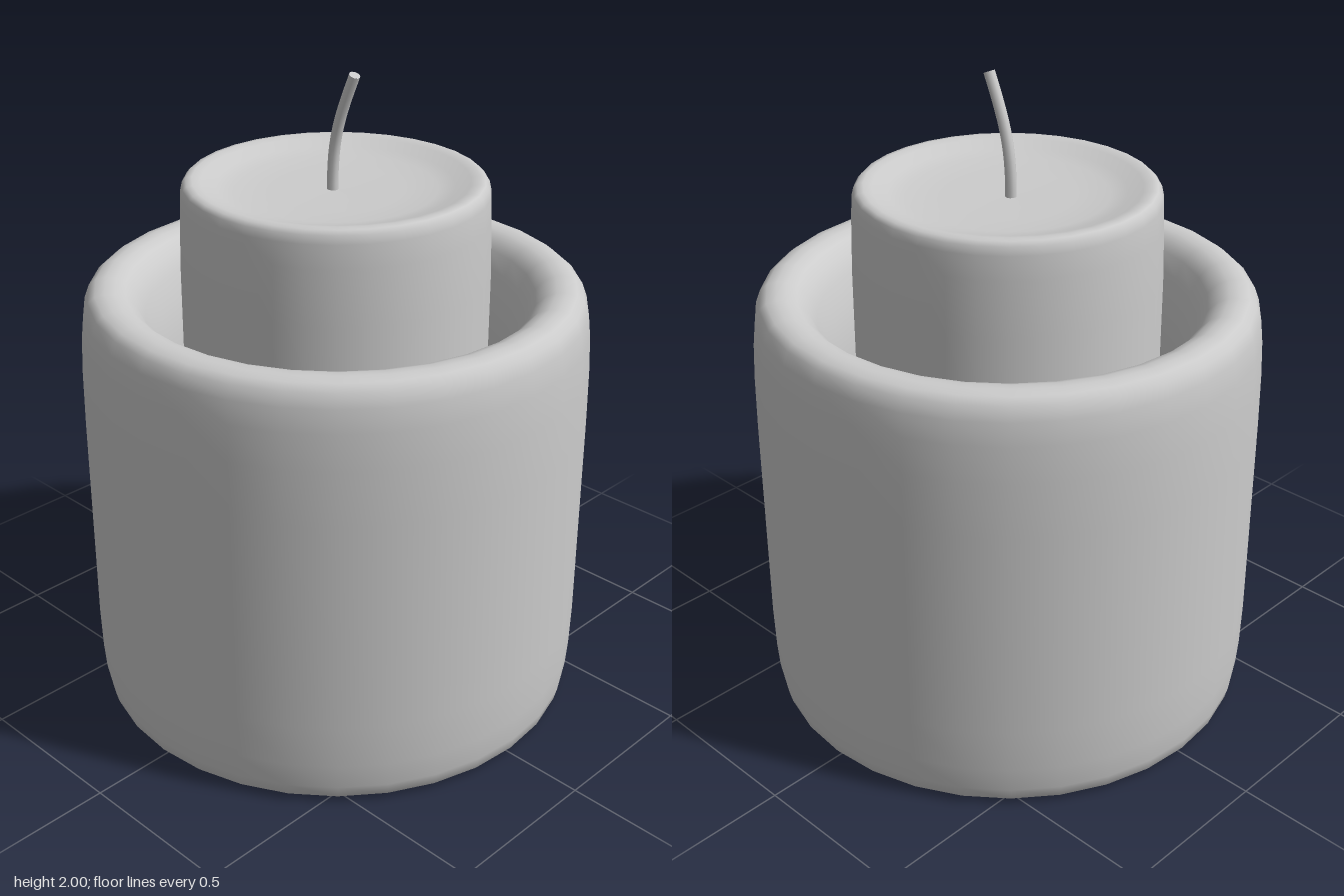
import * as THREE from 'three';

const material = new THREE.MeshStandardMaterial({ color: 0xcccccc });

// Revolve a [radius, height] profile, listed from bottom axis to top axis
function turned(name, profile) {
  const points = profile.map(([r, y]) => new THREE.Vector2(r, y));
  const mesh = new THREE.Mesh(new THREE.LatheGeometry(points, 32), material);
  mesh.name = name;
  return mesh;
}

export function createModel() {
  const group = new THREE.Group();
  group.name = 'candleInHolder';

  // Thick cup: base, outer wall, rounded rim, funnel-like lip, inner wall, floor
  group.add(turned('holder', [
    [0, 0], [0.4, 0], [0.68, 0.003], [0.735, 0.008], [0.752, 0.02], [0.762, 0.06],
    [0.768, 0.14], [0.772, 0.28], [0.772, 0.95], [0.77, 1.12], [0.765, 1.23],
    [0.757, 1.3], [0.742, 1.34], [0.72, 1.358], [0.69, 1.365], [0.66, 1.362],
    [0.63, 1.35], [0.6, 1.32], [0.575, 1.27], [0.55, 1.19], [0.53, 1.1],
    [0.52, 0.98], [0.522, 0.85], [0.535, 0.6], [0.545, 0.35], [0.54, 0.22],
    [0.52, 0.18], [0.48, 0.17], [0, 0.17],
  ]));

  // Candle with a softly rounded edge and a dished top
  group.add(turned('candle', [
    [0, 0.17], [0.45, 0.17], [0.465, 0.2], [0.466, 0.8], [0.464, 1.4],
    [0.459, 1.57], [0.455, 1.64], [0.449, 1.665], [0.438, 1.677], [0.42, 1.68],
    [0.395, 1.674], [0.35, 1.658], [0.3, 1.647], [0.2, 1.641], [0, 1.638],
  ]));

  // Bent wick with a flat cut end
  const path = new THREE.CatmullRomCurve3([
    [-0.012, 1.6], [-0.012, 1.69], [-0.004, 1.77], [0.014, 1.845], [0.042, 1.92], [0.074, 1.993],
  ].map(([x, y]) => new THREE.Vector3(x, y, 0)));
  const wick = new THREE.Group();
  wick.name = 'wick';
  const cord = new THREE.Mesh(new THREE.TubeGeometry(path, 14, 0.017, 10), material);
  cord.name = 'wickCord';
  const tip = new THREE.Mesh(new THREE.CircleGeometry(0.017, 10), material);
  tip.name = 'wickTip';
  tip.position.copy(path.getPoint(1));
  tip.quaternion.setFromUnitVectors(new THREE.Vector3(0, 0, 1), path.getTangent(1));
  wick.add(cord, tip);
  group.add(wick);

  return group;
}
